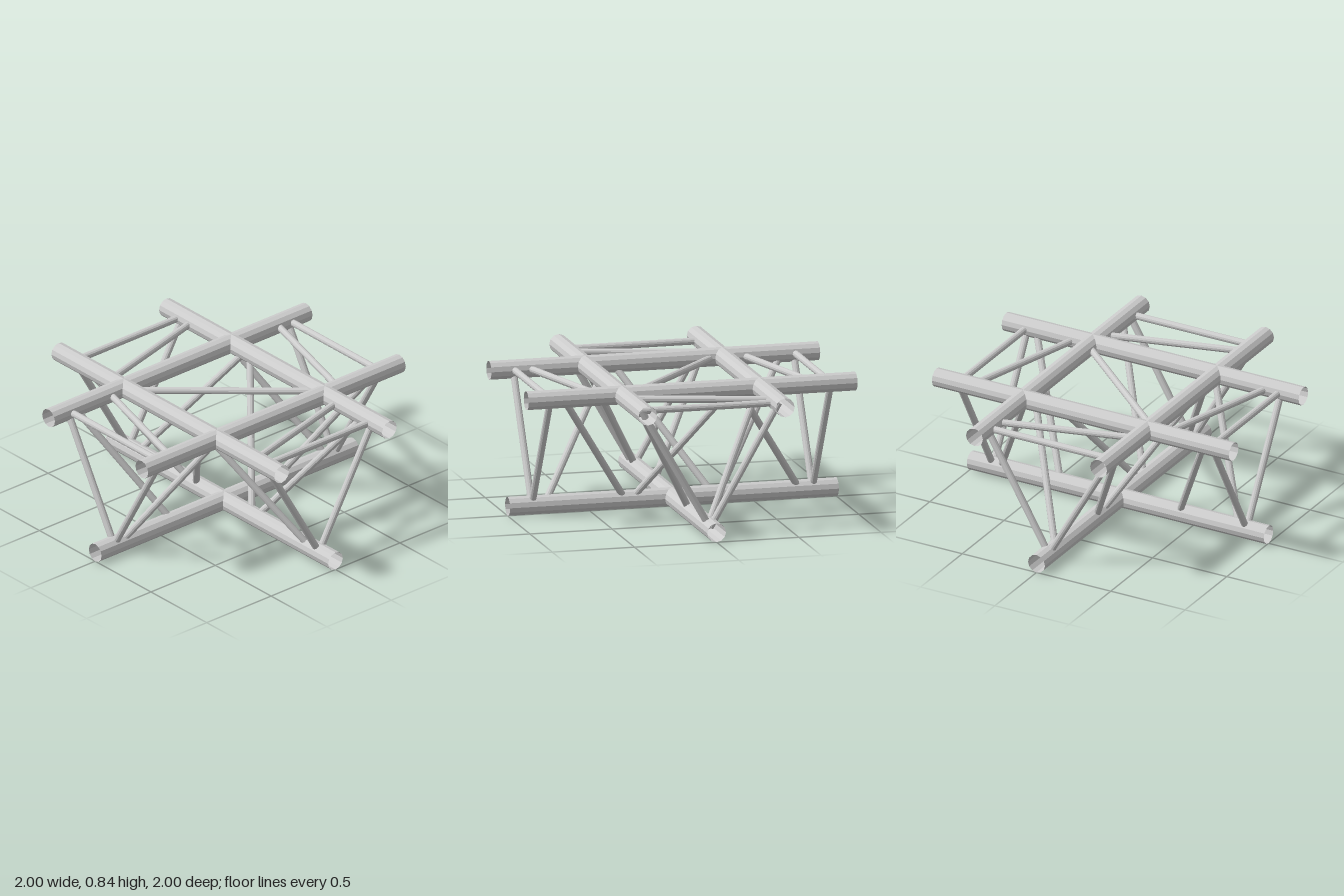
import * as THREE from 'three';

const HALF = 0.418;    // half the spacing of the upper chords
const TOP = 0.784;     // upper chord axis height
const BOTTOM = 0.057;  // lower chord axis height
const CHORD_R = 0.057;
const STRUT_R = 0.021;

export function createModel() {
  const model = new THREE.Group();
  // Double-sided, because the tubes are open and show their inner walls
  const metal = new THREE.MeshStandardMaterial({ color: 0xcccccc, side: THREE.DoubleSide });
  metal.name = 'aluminium';
  metal.flatShading = true;

  // Open-ended tube between two points
  function tube(name, a, b, radius, sides) {
    const from = new THREE.Vector3(...a), to = new THREE.Vector3(...b);
    const dir = to.clone().sub(from);
    const mesh = new THREE.Mesh(
      new THREE.CylinderGeometry(radius, radius, dir.length(), sides, 1, true), metal);
    mesh.position.copy(from).add(to).multiplyScalar(0.5);
    mesh.quaternion.setFromUnitVectors(new THREE.Vector3(0, 1, 0), dir.normalize());
    mesh.name = name;
    model.add(mesh);
  }
  const chord = (name, a, b) => tube(name, a, b, CHORD_R, 12);
  const strut = (name, a, b) => tube(name, a, b, STRUT_R, 12);

  // Main chords: two upper and one lower in each direction
  for (const s of [-1, 1]) {
    chord('upperChordAcross', [-1, TOP, s * HALF], [1, TOP, s * HALF]);
    chord('upperChordLengthwise', [s * HALF, TOP, -1], [s * HALF, TOP, 1]);
  }
  chord('lowerChordAcross', [-1, BOTTOM, 0], [1, BOTTOM, 0]);
  chord('lowerChordLengthwise', [0, BOTTOM, -1], [0, BOTTOM, 1]);

  // Triangular end frames on all four arms
  const END = 0.853;
  for (const s of [-1, 1]) {
    const e = s * END;
    strut('endCrossbar', [-HALF, TOP, e], [HALF, TOP, e]);
    strut('endCrossbar', [e, TOP, -HALF], [e, TOP, HALF]);
    for (const k of [-HALF, HALF]) {
      strut('endLeg', [k, TOP, e], [0, BOTTOM, e]);
      strut('endLeg', [e, TOP, k], [e, BOTTOM, 0]);
    }
  }

  // Diagonal bracing, repeated by a half turn about the vertical axis
  for (const s of [-1, 1]) {
    const h = s * HALF;
    // front and back arms
    strut('sideDiagonal', [h, TOP, s * 0.4], [0, BOTTOM, s * 0.803]);
    strut('sideDiagonal', [-h, TOP, s * 0.8], [0, BOTTOM, s * 0.4]);
    strut('topDiagonal', [-h, TOP, s * 0.53], [h, TOP, s * 0.77]);
    // left and right arms
    strut('sideDiagonal', [s * 0.285, TOP, h], [s * 0.775, BOTTOM, 0]);
    strut('sideDiagonal', [s * 0.775, TOP, -h], [s * 0.285, BOTTOM, 0]);
    strut('topDiagonal', [s * 0.54, TOP, -h], [s * 0.763, TOP, h]);
    // centre bay
    strut('centreDiagonal', [s * 0.25, TOP, h], [s * -0.25, BOTTOM, 0]);
  }
  strut('centreTopDiagonal', [0.368, TOP, -HALF], [-0.368, TOP, HALF]);

  return model;
}
